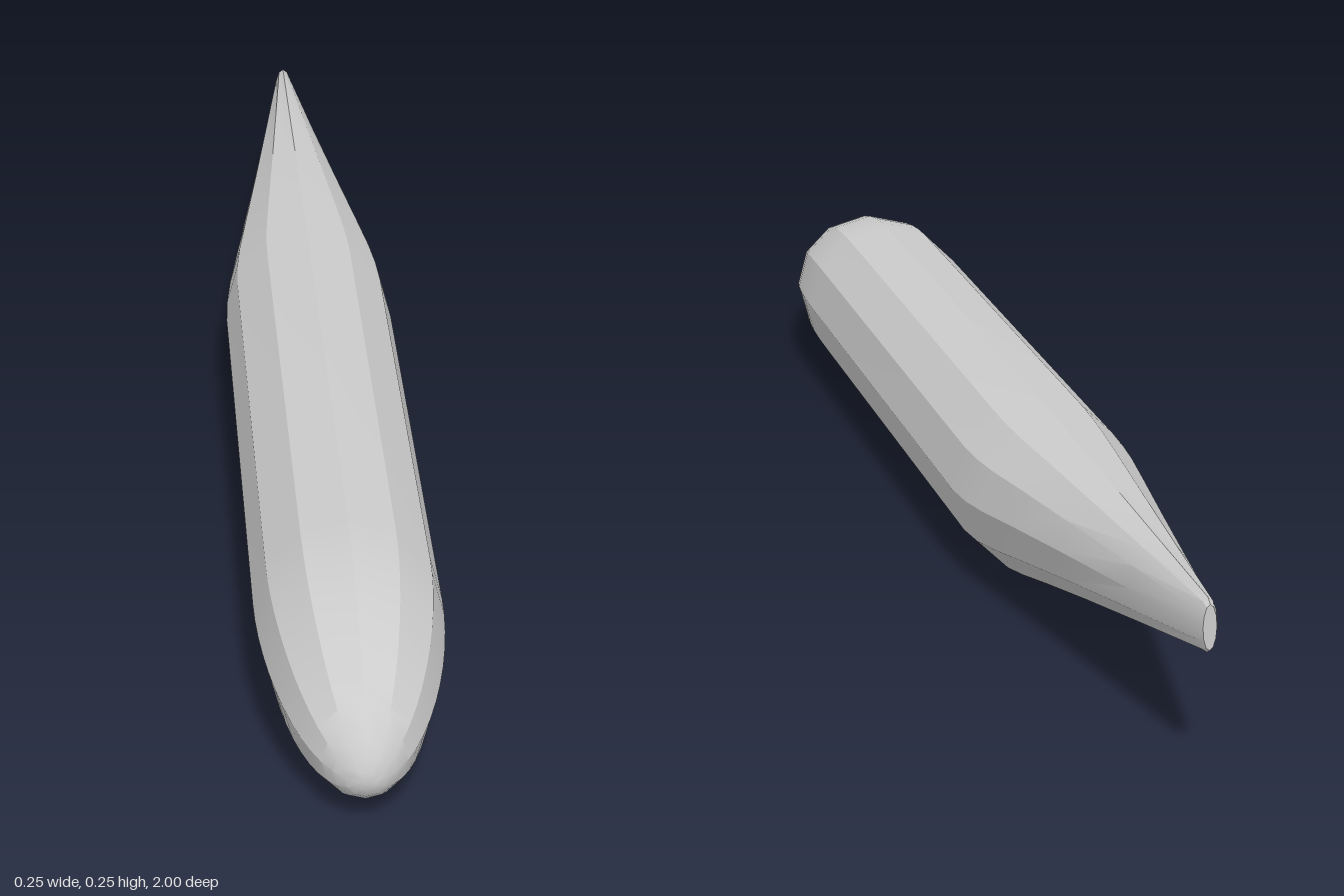
import * as THREE from 'three';
import { toCreasedNormals } from 'three/addons/utils/BufferGeometryUtils.js';

const SIDES = 12;
const RADIUS = 0.125;

// Cross-sections from nose to tail: [z, centre height, half width, half height]
function fuselageSections() {
  const sections = [];

  // Elliptical nose whose tip droops below the centre line
  const noseSteps = 14;
  for (let i = 0; i <= noseSteps; i++) {
    const a = (i / noseSteps) * Math.PI / 2;
    const t = Math.cos(a);
    const r = i === 0 ? 0 : RADIUS * Math.sin(a);
    sections.push([0.64 + 0.36 * t, RADIUS - 0.055 * t * t, r, r]);
  }

  // Straight barrel, then a tail cone swept up to a narrow upright end
  const tail = [ // z, bottom, top, half width
    [-0.24, 0, 0.25, 0.125],
    [-0.3, 0.007, 0.249, 0.122],
    [-0.36, 0.02, 0.248, 0.115],
    [-0.45, 0.042, 0.247, 0.1],
    [-0.6, 0.077, 0.244, 0.075],
    [-0.8, 0.122, 0.24, 0.043],
    [-0.99, 0.164, 0.237, 0.013],
    [-1, 0.17, 0.231, 0.009],
  ];
  for (const [z, bottom, top, w] of tail) {
    sections.push([z, (top + bottom) / 2, w, (top - bottom) / 2]);
  }
  sections.push([-1, 0.2, 0, 0]); // closed end
  return sections;
}

// Skin the sections with quads, leaving out collapsed triangles at both ends
function loft(sections) {
  const point = ([z, cy, rx, ry], j) => {
    const a = (j % SIDES) / SIDES * Math.PI * 2;
    return [Math.sin(a) * rx, cy + Math.cos(a) * ry, z];
  };
  const positions = [];
  for (let i = 0; i < sections.length - 1; i++) {
    const front = sections[i], back = sections[i + 1];
    for (let j = 0; j < SIDES; j++) {
      const a = point(front, j), b = point(front, j + 1);
      const c = point(back, j), d = point(back, j + 1);
      if (front[2] > 0) positions.push(...a, ...b, ...c);
      if (back[2] > 0) positions.push(...b, ...d, ...c);
    }
  }
  const geometry = new THREE.BufferGeometry();
  geometry.setAttribute('position', new THREE.Float32BufferAttribute(positions, 3));
  return toCreasedNormals(geometry, 0.42); // facets stay sharp, lengthwise curves smooth
}

export function createModel() {
  const group = new THREE.Group();
  const material = new THREE.MeshStandardMaterial({ color: 0xcccccc });
  const fuselage = new THREE.Mesh(loft(fuselageSections()), material);
  fuselage.name = 'fuselage';
  group.add(fuselage);
  return group;
}
